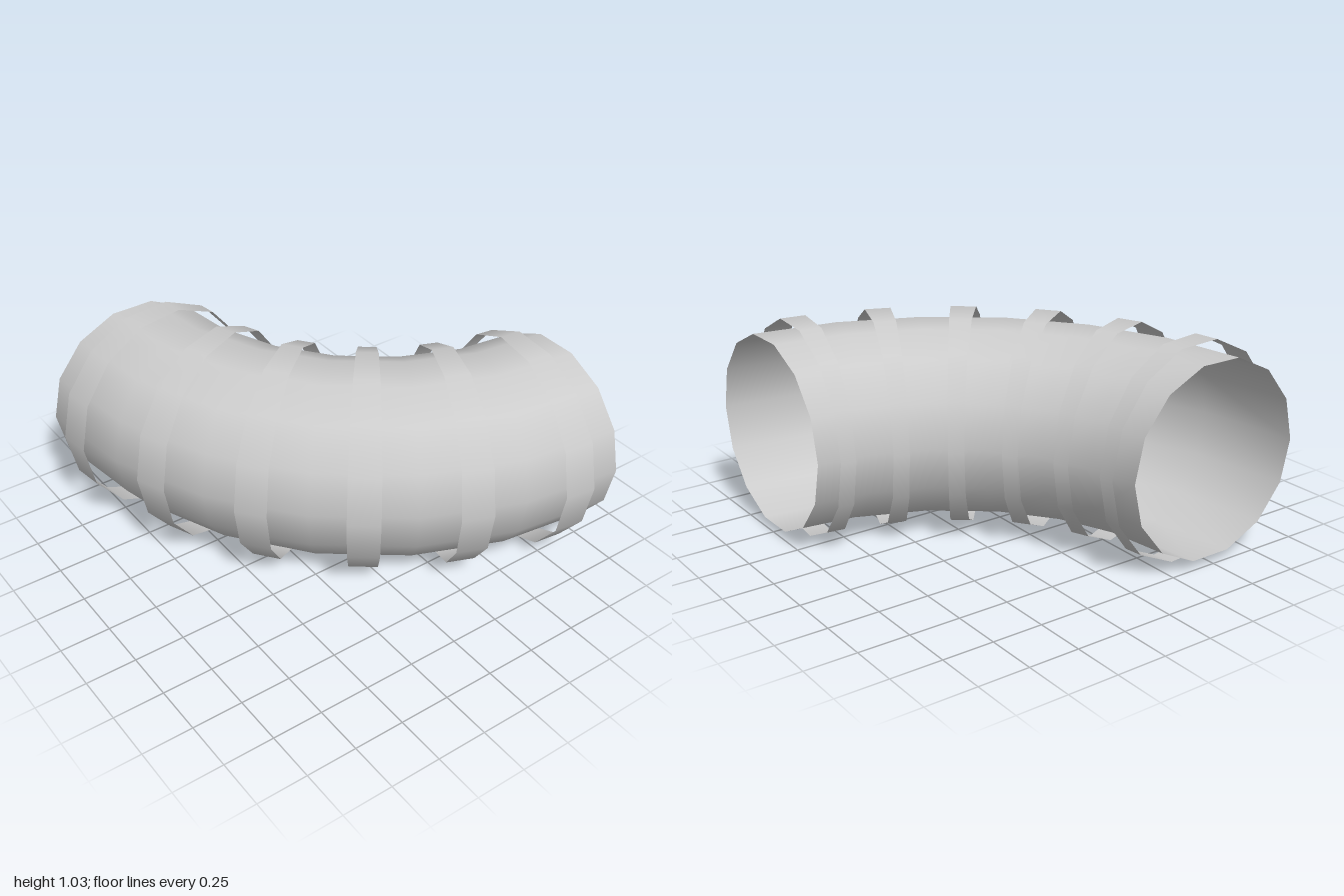
import * as THREE from 'three';

const BEND_RADIUS = 1.478; // centreline of the elbow
const CENTRE_Y = 0.517;
const SIDES = 14;
const rad = THREE.MathUtils.degToRad;

export function createModel() {
  const group = new THREE.Group();
  const material = new THREE.MeshStandardMaterial({ color: 0xcccccc, side: THREE.DoubleSide });

  // Open section of a ring, swept from the -x side towards +z about the corner (1, -1)
  function addSection(name, tube, segments, startDeg, sweepDeg) {
    const geometry = new THREE.TorusGeometry(BEND_RADIUS, tube, SIDES, segments, rad(sweepDeg));
    geometry.rotateZ(rad(startDeg)).rotateX(-Math.PI / 2).rotateY(Math.PI);
    geometry.translate(1, CENTRE_Y, -1);
    const mesh = new THREE.Mesh(geometry, material);
    mesh.name = name;
    group.add(mesh);
  }

  // Quarter-turn pipe, open at both ends
  addSection('pipe', 0.48, 6, 0, 90);

  // Thin bands standing clear of the pipe, one at the middle of each segment
  for (let i = 0; i < 6; i++) {
    addSection(`band${i + 1}`, 0.53, 1, 5.25 + i * 15, 4.5);
  }
  return group;
}
